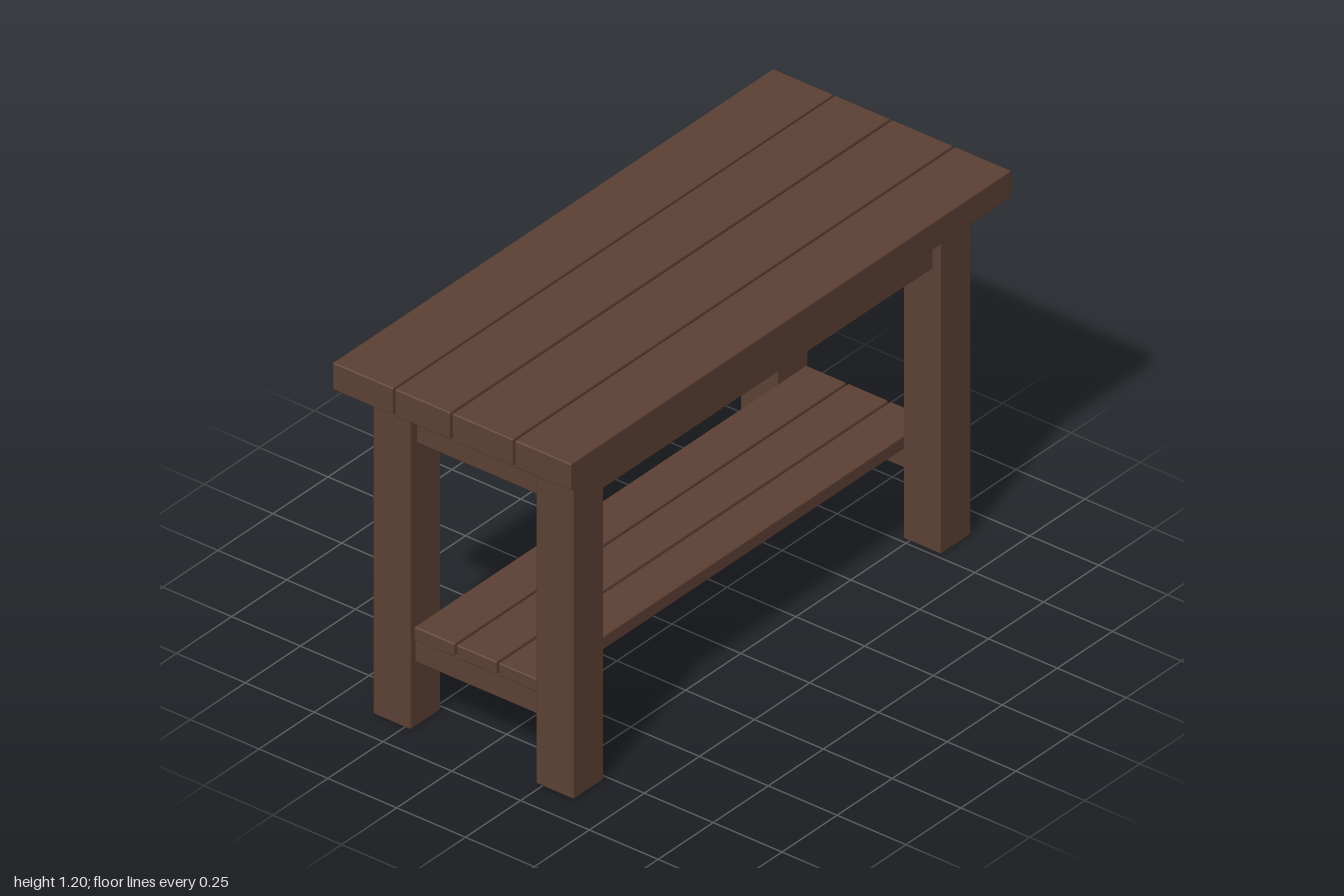
import * as THREE from 'three';
import { RoundedBoxGeometry } from 'three/addons/geometries/RoundedBoxGeometry.js';

export function createModel() {
  const model = new THREE.Group();
  model.name = 'slattedTable';
  const wood = new THREE.MeshStandardMaterial({ color: 0x5c4033 });
  wood.name = 'darkWood';

  // A slightly eased timber given by its extents on each axis
  function timber(name, [x0, x1], [y0, y1], [z0, z1]) {
    const geometry = new RoundedBoxGeometry(x1 - x0, y1 - y0, z1 - z0, 1, 0.004);
    const mesh = new THREE.Mesh(geometry, wood);
    mesh.name = name;
    mesh.position.set((x0 + x1) / 2, (y0 + y1) / 2, (z0 + z1) / 2);
    model.add(mesh);
  }

  const span = (side, inner, outer) => (side > 0 ? [inner, outer] : [-outer, -inner]);

  // Table top: four planks with narrow gaps
  const topPlanks = [[0.229, 0.433], [0.001, 0.221], [-0.207, -0.007], [-0.433, -0.214]];
  topPlanks.forEach((z, i) => timber(`topPlank${i + 1}`, [-1, 1], [1.109, 1.2], z));

  // Lower shelf: three thin slats
  const shelfSlats = [[0.082, 0.227], [-0.071, 0.074], [-0.225, -0.079]];
  shelfSlats.forEach((z, i) => timber(`shelfSlat${i + 1}`, [-0.89, 0.89], [0.297, 0.341], z));

  for (const s of [1, -1]) {
    const end = s > 0 ? 'left' : 'right';
    const face = s > 0 ? 'front' : 'back';

    // Legs
    for (const t of [1, -1]) {
      timber(`${end}${t > 0 ? 'Front' : 'Back'}Leg`,
        span(s, 0.765, 0.902), [0, 1.109], span(t, 0.228, 0.364));
    }

    // Rails under the top and the bearer under the shelf
    timber(`${face}Apron`, [-0.767, 0.767], [0.948, 1.105], span(s, 0.245, 0.335));
    timber(`${end}EndApron`, span(s, 0.783, 0.873), [0.948, 1.105], [-0.23, 0.23]);
    timber(`${end}ShelfBearer`, span(s, 0.79, 0.88), [0.217, 0.297], [-0.23, 0.23]);
  }

  return model;
}
